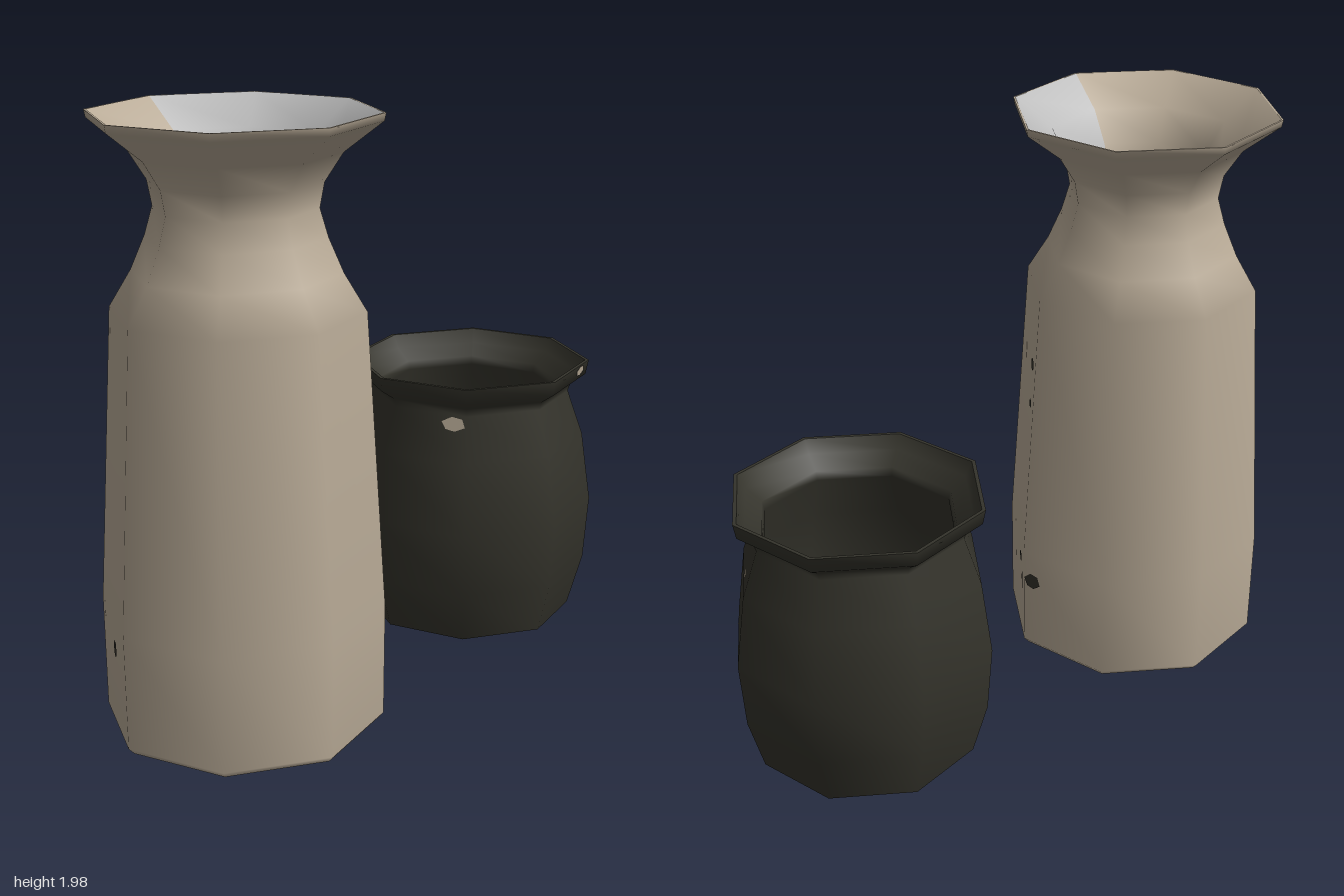
import * as THREE from 'three';

const SIDES = 8;
const STEP = (Math.PI * 2) / SIDES;
const TURN = THREE.MathUtils.degToRad(11.3); // both vessels share this rotation

const material = (name, color) => {
  const m = new THREE.MeshStandardMaterial({ color });
  m.name = name;
  return m;
};

// Octagonal surface of revolution; rising profiles face out, falling ones face in
function turned(name, profile, mat, firstSide = 0, sides = SIDES) {
  const points = profile.map(([r, y]) => new THREE.Vector2(r, y));
  const geo = new THREE.LatheGeometry(points, sides, TURN + firstSide * STEP, sides * STEP);
  const mesh = new THREE.Mesh(geo, mat);
  mesh.name = name;
  return mesh;
}

// Small irregular chip laid flat on one facet of a turned wall
function chip(profile, degrees, y, w, h, mat) {
  const i = profile.findIndex(([, py], k) => k > 0 && py >= y);
  const [r0, y0] = profile[i - 1];
  const [r1, y1] = profile[i];
  const r = r0 + ((r1 - r0) * (y - y0)) / (y1 - y0);
  const phi = THREE.MathUtils.degToRad(degrees);
  const mid = TURN + (Math.floor((phi - TURN) / STEP) + 0.5) * STEP;
  const k = Math.cos(STEP / 2);
  const out = new THREE.Vector3(Math.sin(mid), 0, Math.cos(mid));
  const along = new THREE.Vector3(Math.cos(mid), 0, -Math.sin(mid));
  const normal = out.clone().multiplyScalar(y1 - y0);
  normal.y = -(r1 - r0) * k;
  normal.normalize();

  const outline = [[-0.5, 0.1], [-0.3, -0.4], [0.1, -0.5], [0.5, -0.15], [0.35, 0.4], [-0.1, 0.5]];
  const shape = new THREE.Shape(outline.map(([a, b]) => new THREE.Vector2(a * w, b * h)));
  const mesh = new THREE.Mesh(new THREE.ShapeGeometry(shape), mat);
  mesh.name = 'chip';
  mesh.position.copy(out).multiplyScalar(r * k)
    .addScaledVector(along, r * k * Math.tan(phi - mid))
    .addScaledVector(normal, 0.004);
  mesh.position.y += y;
  mesh.quaternion.setFromUnitVectors(new THREE.Vector3(0, 0, 1), out);
  mesh.quaternion.premultiply(new THREE.Quaternion().setFromUnitVectors(out, normal));
  return mesh;
}

export function createModel() {
  const cream = material('cream glaze', 0xb9ab97);
  const grey = material('pale grey lining', 0xbcbcbc);
  const dark = material('charcoal glaze', 0x34332b);

  // Tall vase with a flared mouth
  const vase = new THREE.Group();
  vase.name = 'tallVase';
  const vaseWall = [
    [0.435, 0.003], [0.455, 0.025], [0.459, 0.4], [0.402, 1.37], [0.33, 1.49], [0.283, 1.6],
    [0.257, 1.69], [0.272, 1.77], [0.33, 1.86], [0.452, 1.955], [0.457, 1.98],
  ];
  const vaseFunnel = [[0.45, 1.98], [0.32, 1.885], [0.25, 1.78], [0.235, 1.69]];
  vase.add(
    turned('vaseBase', [[0, 0.003], [0.435, 0.003]], cream),
    turned('vaseWall', vaseWall, cream),
    turned('vaseLip', [[0.457, 1.98], [0.45, 1.98]], cream),
    turned('greyFunnel', vaseFunnel, grey, 1, 4),
    turned('creamFunnel', vaseFunnel, cream, 5, 4),
    turned('vaseInside', [[0.235, 1.69], [0.26, 1.6], [0.375, 1.36], [0.43, 0.4], [0.42, 0.05]], grey),
    turned('vaseFloor', [[0.42, 0.05], [0, 0.05]], grey),
  );
  [
    [-50.7, 0.31, 0.045, 0.06], [140, 1.115, 0.06, 0.045], [141, 0.97, 0.035, 0.035],
    [139.5, 0.35, 0.045, 0.045], [144, 0.27, 0.03, 0.08], [151, 0.29, 0.07, 0.06],
  ].forEach(([a, y, w, h]) => vase.add(chip(vaseWall, a, y, w, h, dark)));
  vase.position.set(-0.24, 0, 0.55);

  // Short pot with a rolled rim
  const pot = new THREE.Group();
  pot.name = 'shortPot';
  const potWall = [
    [0.378, 0.015], [0.43, 0.2], [0.447, 0.43], [0.412, 0.68], [0.356, 0.84],
    [0.365, 0.87], [0.418, 0.905], [0.428, 0.957],
  ];
  pot.add(
    turned('potBase', [[0, 0.015], [0.378, 0.015]], dark),
    turned('potWall', potWall, dark),
    turned('potLip', [[0.428, 0.957], [0.415, 0.957]], dark),
    turned('potInside', [
      [0.415, 0.957], [0.39, 0.91], [0.335, 0.87], [0.327, 0.84], [0.385, 0.68],
      [0.42, 0.43], [0.4, 0.2], [0.36, 0.06],
    ], dark),
    turned('potFloor', [[0.36, 0.06], [0, 0.06]], dark),
  );
  [
    [90, 0.938, 0.07, 0.036], [135, 0.72, 0.05, 0.035], [133, 0.29, 0.04, 0.035],
    [4, 0.81, 0.09, 0.05], [124, 0.5, 0.03, 0.03],
  ].forEach(([a, y, w, h]) => pot.add(chip(potWall, a, y, w, h, cream)));

  // Chip on the pot floor
  const floorChip = new THREE.Mesh(new THREE.CircleGeometry(0.017, 6), cream);
  floorChip.name = 'floorChip';
  floorChip.rotation.x = -Math.PI / 2;
  floorChip.position.set(-0.205, 0.064, 0.175);
  pot.add(floorChip);
  pot.position.set(0.245, 0, -0.565);

  const model = new THREE.Group();
  model.name = 'vaseAndPot';
  model.add(vase, pot);
  return model;
}
